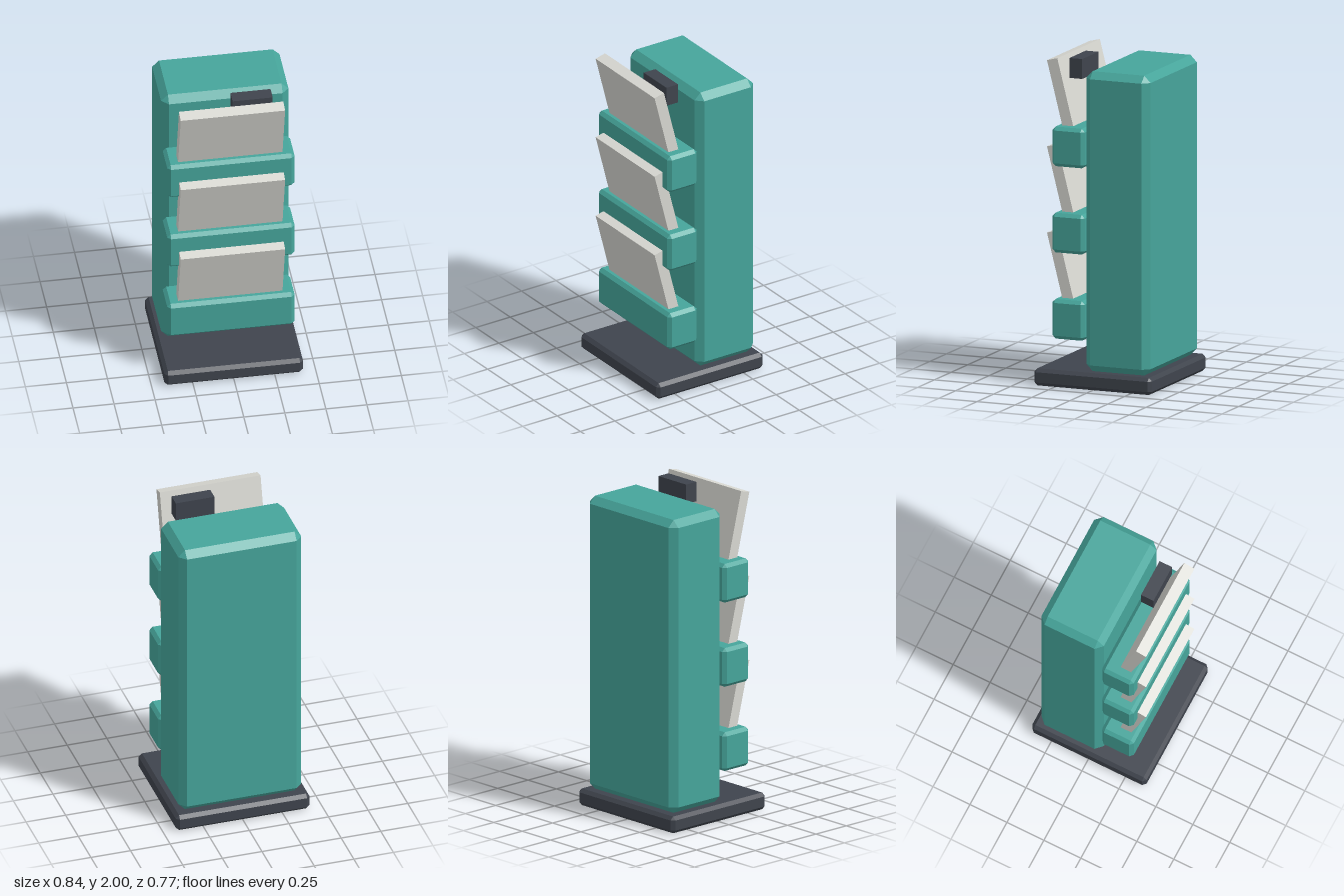
import * as THREE from 'three';
import { ConvexGeometry } from 'three/addons/geometries/ConvexGeometry.js';

const material = (name, color) => {
  const m = new THREE.MeshStandardMaterial({ color });
  m.name = name;
  return m;
};

// Box with flat 45 degree chamfers on every edge
function chamferBox(w, h, d, c) {
  const points = [];
  for (const x of [-w / 2, w / 2])
    for (const y of [-h / 2, h / 2])
      for (const z of [-d / 2, d / 2]) {
        const ix = x - Math.sign(x) * c, iy = y - Math.sign(y) * c, iz = z - Math.sign(z) * c;
        points.push(
          new THREE.Vector3(x, iy, iz),
          new THREE.Vector3(ix, y, iz),
          new THREE.Vector3(ix, iy, z)
        );
      }
  return new ConvexGeometry(points);
}

export function createModel() {
  const group = new THREE.Group();
  group.name = 'brochureStand';
  const teal = material('teal', 0x46a59b);
  const grey = material('paper grey', 0xd8d8d2);
  const dark = material('charcoal', 0x3f444d);

  const add = (name, geometry, mat, x, y, z) => {
    const mesh = new THREE.Mesh(geometry, mat);
    mesh.name = name;
    mesh.position.set(x, y, z);
    group.add(mesh);
    return mesh;
  };

  // Base plate and upright cabinet
  add('base', chamferBox(0.844, 0.105, 0.774, 0.021), dark, 0, 0.0525, 0);
  add('body', chamferBox(0.776, 1.84, 0.422, 0.042), teal, 0, 1.025, -0.142);

  // Three pockets, each holding a panel leaning forward
  const trayGeometry = chamferBox(0.776, 0.243, 0.213, 0.021);
  const tilt = 0.25, panelHeight = 0.53, panelThickness = 0.07;
  const panelGeometry = new THREE.BoxGeometry(0.636, panelHeight, panelThickness);
  panelGeometry.translate(0, -panelHeight / 2, 0); // pivot at the top edge
  for (let i = 0; i < 3; i++) {
    const rise = i * 0.529;
    add('tray' + (i + 1), trayGeometry, teal, 0, 0.411 + rise, 0.176);
    add('panel' + (i + 1), panelGeometry, grey, 0, 0.933 + rise, 0.306).rotation.x = tilt;
  }

  // Small block behind the top panel
  add('clip', new THREE.BoxGeometry(0.244, 0.122, 0.084), dark, 0.14, 1.934, 0.175);

  return group;
}
